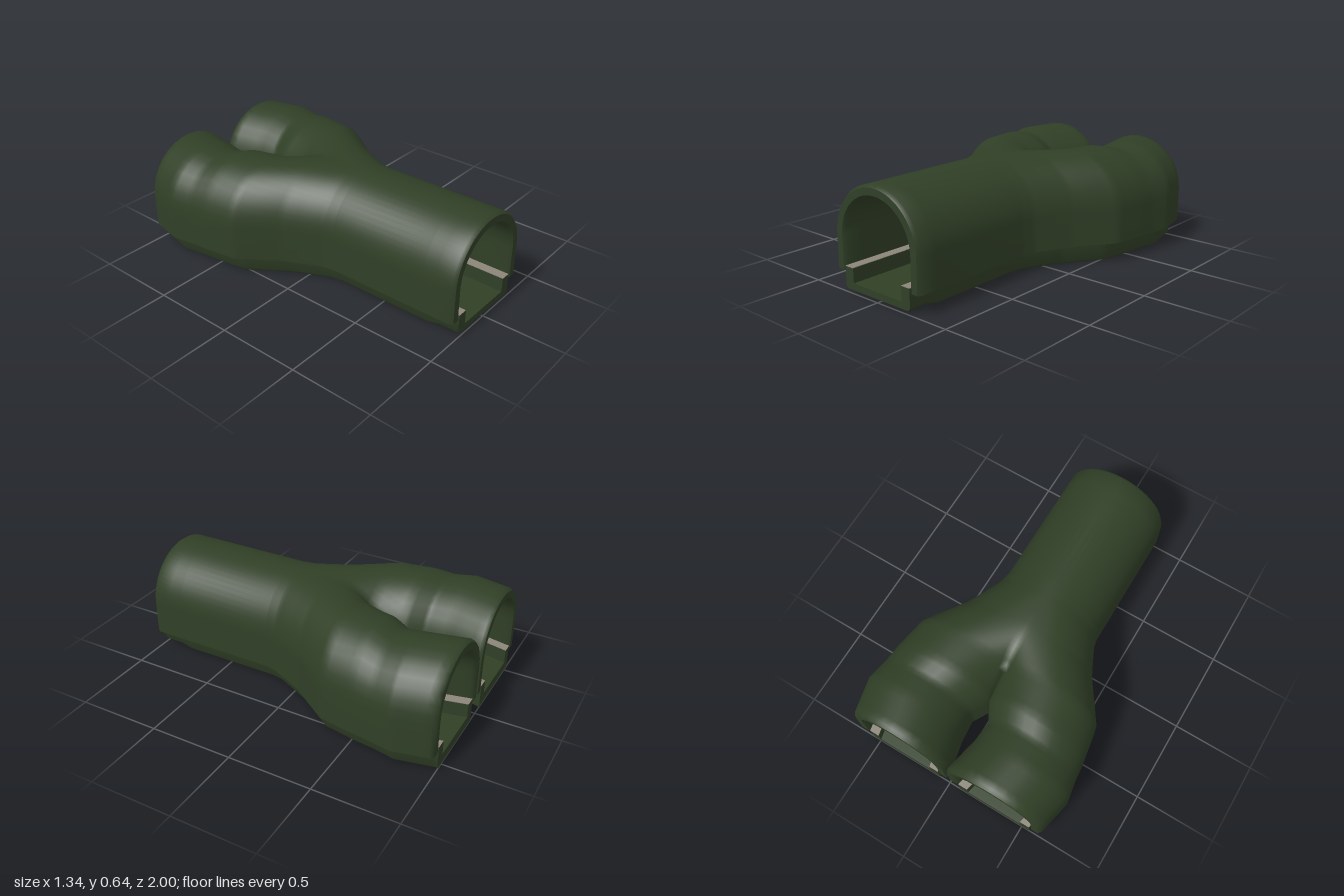
import * as THREE from 'three';
import { toCreasedNormals } from 'three/addons/utils/BufferGeometryUtils.js';

// Branch centre line: z, distance from the middle, outer half width
const PATH = [
  [1, 0, 0.32], [0.98, 0, 0.32], [0.88, 0, 0.32], [0.8, 0, 0.32], [0.2, 0, 0.32],
  [0.12, 0.015, 0.32], [0, 0.07, 0.32], [-0.1, 0.12, 0.32], [-0.2, 0.19, 0.32],
  [-0.33, 0.28, 0.32], [-0.53, 0.317, 0.317], [-0.64, 0.354, 0.292],
  [-0.77, 0.36, 0.31], [-0.98, 0.314, 0.31], [-1, 0.31, 0.31],
];
const WALL = 0.07, SPRING = 0.32, SKIRT = 0.12, RIM = 0.145, FLOOR = 0.06;

function makeRings() {
  const rings = [];
  PATH.forEach(([z, c, w], i) => {
    const next = PATH[i + 1];
    const steps = next && z <= 0.2 && z - next[0] > 0.05 ? 5 : 1;
    for (let k = 0; k < steps; k++) {
      const t = k / steps;
      const mix = (a, b) => (next ? a + (b - a) * t : a);
      rings.push({ z: mix(z, next?.[0]), c: mix(c, next?.[1]), w: mix(w, next?.[2]) });
    }
  });
  return rings;
}

// Joins closed counterclockwise sections from front to back; side -1 mirrors it
function loft(rings, section, side) {
  const loops = rings.map(section);
  const n = loops[0].length;
  const pos = [], index = [];
  const tri = (a, b, c) => (side > 0 ? index.push(a, b, c) : index.push(a, c, b));
  loops.forEach((loop, i) => loop.forEach(([x, y]) => pos.push(x * side, y, rings[i].z)));
  for (let i = 0; i < loops.length - 1; i++) {
    for (let j = 0; j < n; j++) {
      const a = i * n + j, b = i * n + ((j + 1) % n);
      tri(a, a + n, b);
      tri(b, a + n, b + n);
    }
  }
  [0, loops.length - 1].forEach((i) => {
    const flat = loops[i].map(([x, y]) => new THREE.Vector2(x, y));
    THREE.ShapeUtils.triangulateShape(flat, []).forEach(([a, b, c]) => {
      if (i === 0) tri(a, b, c);
      else tri(i * n + a, i * n + c, i * n + b);
    });
  });
  const indexed = new THREE.BufferGeometry();
  indexed.setAttribute('position', new THREE.Float32BufferAttribute(pos, 3));
  indexed.setIndex(index);
  const geo = toCreasedNormals(indexed, 0.9);
  // Let the two halves meet smoothly along the middle
  const p = geo.attributes.position, q = geo.attributes.normal;
  for (let i = 0; i < p.count; i++) {
    if (Math.abs(p.getX(i)) < 1e-4 && Math.abs(q.getY(i)) > 0.3 && p.getZ(i) > -0.42) {
      const v = new THREE.Vector3(0, q.getY(i), q.getZ(i)).normalize();
      q.setXYZ(i, v.x, v.y, v.z);
    }
  }
  return geo;
}

// One arch line from the outer foot, over the crown, to the inner foot or the middle
function archLine({ z, c }, w, open) {
  const line = [[c + w, SKIRT]];
  const end = c >= w ? Math.PI : Math.acos(-c / w);
  const valley = THREE.MathUtils.smoothstep(-z, -0.1, 0.5);
  const rise = w * 0.985;
  for (let k = 0; k <= 16; k++) {
    const a = (end * k) / 16;
    const drop = rise * (1 - Math.sin(a)) * (a > Math.PI / 2 ? valley : 1);
    line.push([Math.max(0, c + w * Math.cos(a)), SPRING + rise - drop]);
  }
  const last = line[line.length - 1];
  line.push(open ? [...last] : [last[0], SKIRT]);
  return line;
}

function archSection(ring) {
  const bevel = Math.abs(ring.z) > 0.999 ? 0.014 : 0;
  const inner = ring.w - WALL;
  const open = ring.c <= inner;
  return [
    ...archLine(ring, ring.w - bevel, open),
    ...archLine(ring, inner + bevel, open).reverse(),
  ];
}

// Channel floor with raised kerbs
function traySection({ z, c, w }) {
  const o = w - WALL, k = o - 0.062;
  const base = 0.02 * THREE.MathUtils.clamp((z - 0.8) / 0.08, 0, 1);
  const inX = (x) => Math.max(0, x);
  const kerbY = c > k ? RIM : FLOOR;
  return [
    [c + o - 0.015, base], [c + o, base + 0.015], [c + o, RIM], [c + k, RIM], [c + k, FLOOR],
    [inX(c - k), FLOOR], [inX(c - k), kerbY], [inX(c - o), kerbY], [inX(c - o), base],
  ];
}

// Thin plate lying on a kerb
const plate = (x0, x1) => [[x0, RIM], [x1, RIM], [x1, RIM + 0.003], [x0, RIM + 0.003]];
const outerStrip = ({ c, w }) => plate(c + w - WALL - 0.06, c + w - WALL - 0.001);
const innerStrip = ({ c, w }) => plate(Math.max(0, c - w + WALL + 0.001), c - w + WALL + 0.06);

export function createModel() {
  const model = new THREE.Group();
  model.name = 'forkedTunnel';
  const green = new THREE.MeshStandardMaterial({ color: 0x303f26 });
  green.name = 'dark green';
  const grey = new THREE.MeshStandardMaterial({ color: 0x8c8478 });
  grey.name = 'warm grey';

  const rings = makeRings();
  const forkRings = rings.filter(({ c, w }) => c > w - WALL - 0.06);
  for (const side of [1, -1]) {
    const label = side > 0 ? 'left' : 'right';
    const add = (name, rows, section, material) => {
      const mesh = new THREE.Mesh(loft(rows, section, side), material);
      mesh.name = label + name;
      model.add(mesh);
    };
    add('ArchShell', rings, archSection, green);
    add('FloorTray', rings, traySection, green);
    add('OuterKerbStrip', rings, outerStrip, grey);
    add('InnerKerbStrip', forkRings, innerStrip, grey);
  }
  return model;
}
